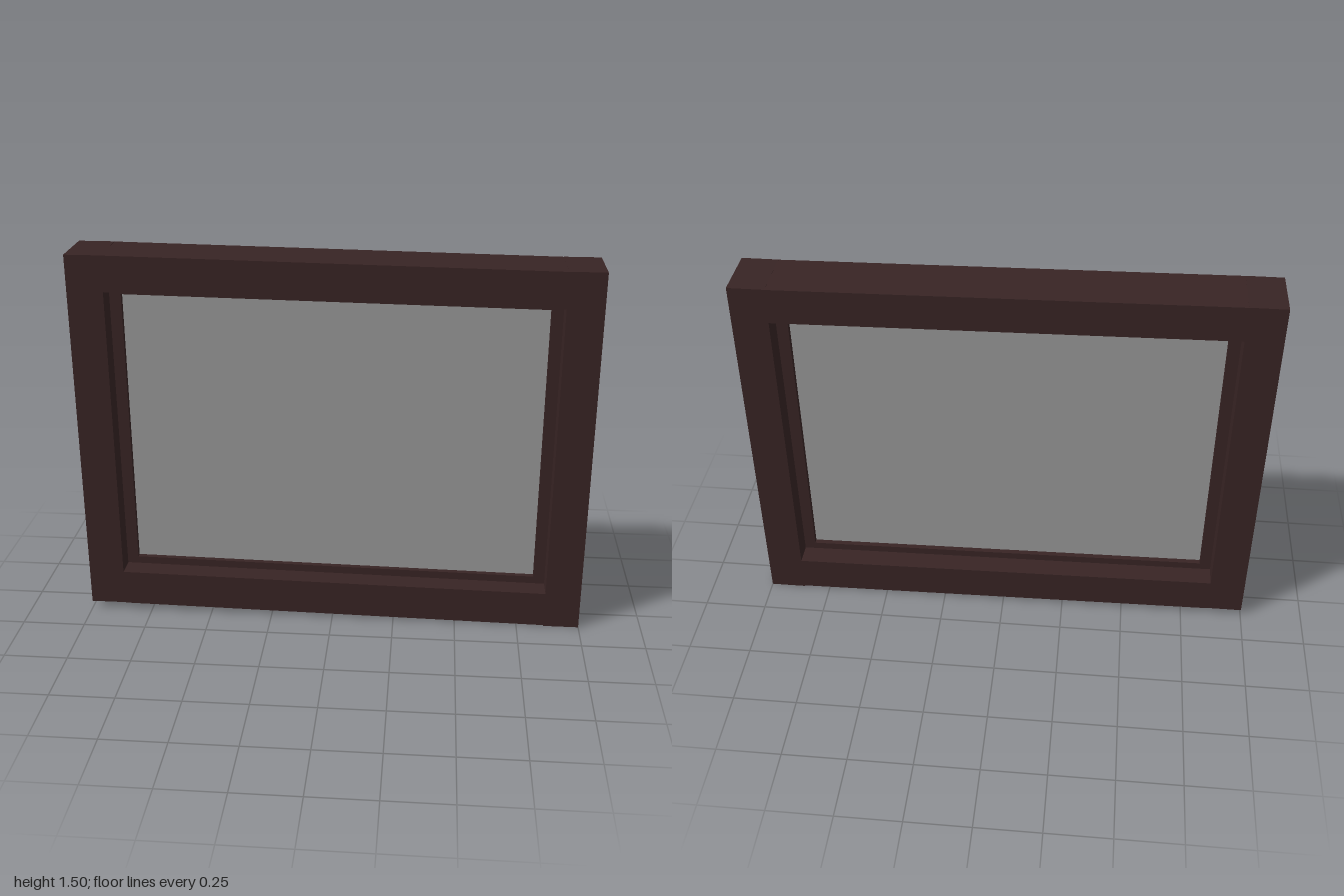
import * as THREE from 'three';

const SLOPE = -0.0145; // the whole window sags slightly toward +x

export function createModel() {
  const group = new THREE.Group();
  const wood = new THREE.MeshStandardMaterial({ color: 0x382424 });
  wood.name = 'dark brown wood';
  const glass = new THREE.MeshStandardMaterial({ color: 0x989898 });
  glass.name = 'grey glass';

  // Box whose top and bottom follow the given slope
  function slab(name, x0, x1, y0, y1, depth, material, slope = SLOPE) {
    const geo = new THREE.BoxGeometry(x1 - x0, y1 - y0, depth);
    geo.translate((x0 + x1) / 2, (y0 + y1) / 2, 0);
    const p = geo.attributes.position;
    for (let i = 0; i < p.count; i++) p.setY(i, p.getY(i) + slope * p.getX(i));
    geo.computeVertexNormals();
    const mesh = new THREE.Mesh(geo, material);
    mesh.name = name;
    group.add(mesh);
  }

  // Outer frame: square-ended stiles with sloping rails between them
  slab('rightStile', -1, -0.86, 0.03, 1.5, 0.22, wood, 0);
  slab('leftStile', 0.86, 1, 0, 1.475, 0.22, wood, 0);
  slab('topRail', -0.86, 0.86, 1.347, 1.487, 0.22, wood);
  slab('bottomRail', -0.86, 0.86, 0.016, 0.16, 0.22, wood);

  // Thin sash holding the pane
  slab('sashRightStile', -0.86, -0.815, 0.16, 1.347, 0.05, wood);
  slab('sashLeftStile', 0.815, 0.86, 0.16, 1.347, 0.05, wood);
  slab('sashTopRail', -0.815, 0.815, 1.317, 1.347, 0.05, wood);
  slab('sashBottomRail', -0.815, 0.815, 0.16, 0.19, 0.05, wood);

  // Glass pane
  slab('pane', -0.815, 0.815, 0.19, 1.317, 0.008, glass);
  return group;
}
